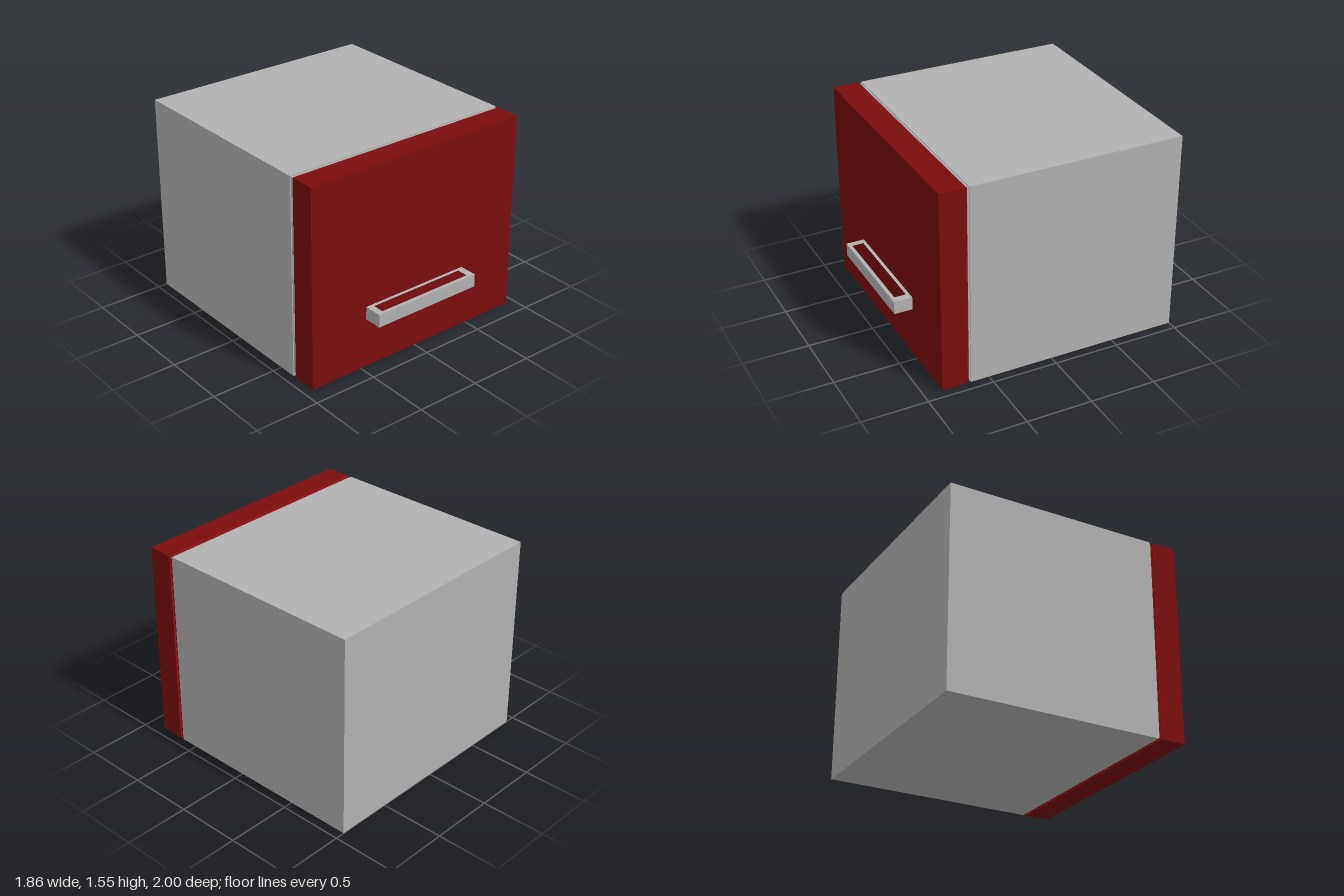
import * as THREE from 'three';

export function createModel() {
  const model = new THREE.Group();
  model.name = 'wallCabinet';

  const grey = new THREE.MeshStandardMaterial({ color: 0xb1b1b1 });
  grey.name = 'light grey';
  const red = new THREE.MeshStandardMaterial({ color: 0x7a0d0e });
  red.name = 'dark red';
  const brightRed = new THREE.MeshStandardMaterial({ color: 0xa01012 });
  brightRed.name = 'bright red';

  const W = 1.855, H = 1.55;

  // Box given by its z range, centred across the cabinet front
  function slab(name, material, w, h, z0, z1) {
    const mesh = new THREE.Mesh(new THREE.BoxGeometry(w, h, z1 - z0), material);
    mesh.position.set(0, H / 2, (z0 + z1) / 2);
    mesh.name = name;
    model.add(mesh);
  }

  // Carcass, the stepped seal behind the door, and the door
  slab('carcass', grey, W, H, -1, 0.64);
  slab('carcassLip', grey, W - 0.015, H - 0.015, 0.64, 0.652);
  slab('doorSeal', red, W - 0.025, H - 0.025, 0.652, 0.668);
  slab('doorBack', brightRed, W, H, 0.667, 0.669);
  slab('door', red, W, H, 0.669, 0.86);

  // Handle: a flat rectangular loop, open from above
  const rect = (Type, x0, z0, x1, z1) => new Type([
    new THREE.Vector2(x0, -z0), new THREE.Vector2(x1, -z0),
    new THREE.Vector2(x1, -z1), new THREE.Vector2(x0, -z1),
  ]);
  const outline = rect(THREE.Shape, -0.455, 0.86, 0.443, 1);
  outline.holes.push(rect(THREE.Path, -0.405, 0.885, 0.387, 0.972));
  const handle = new THREE.Mesh(
    new THREE.ExtrudeGeometry(outline, { depth: 0.1, bevelEnabled: false }), grey);
  handle.rotation.x = -Math.PI / 2;
  handle.position.y = 0.387;
  handle.name = 'handle';
  model.add(handle);

  return model;
}
